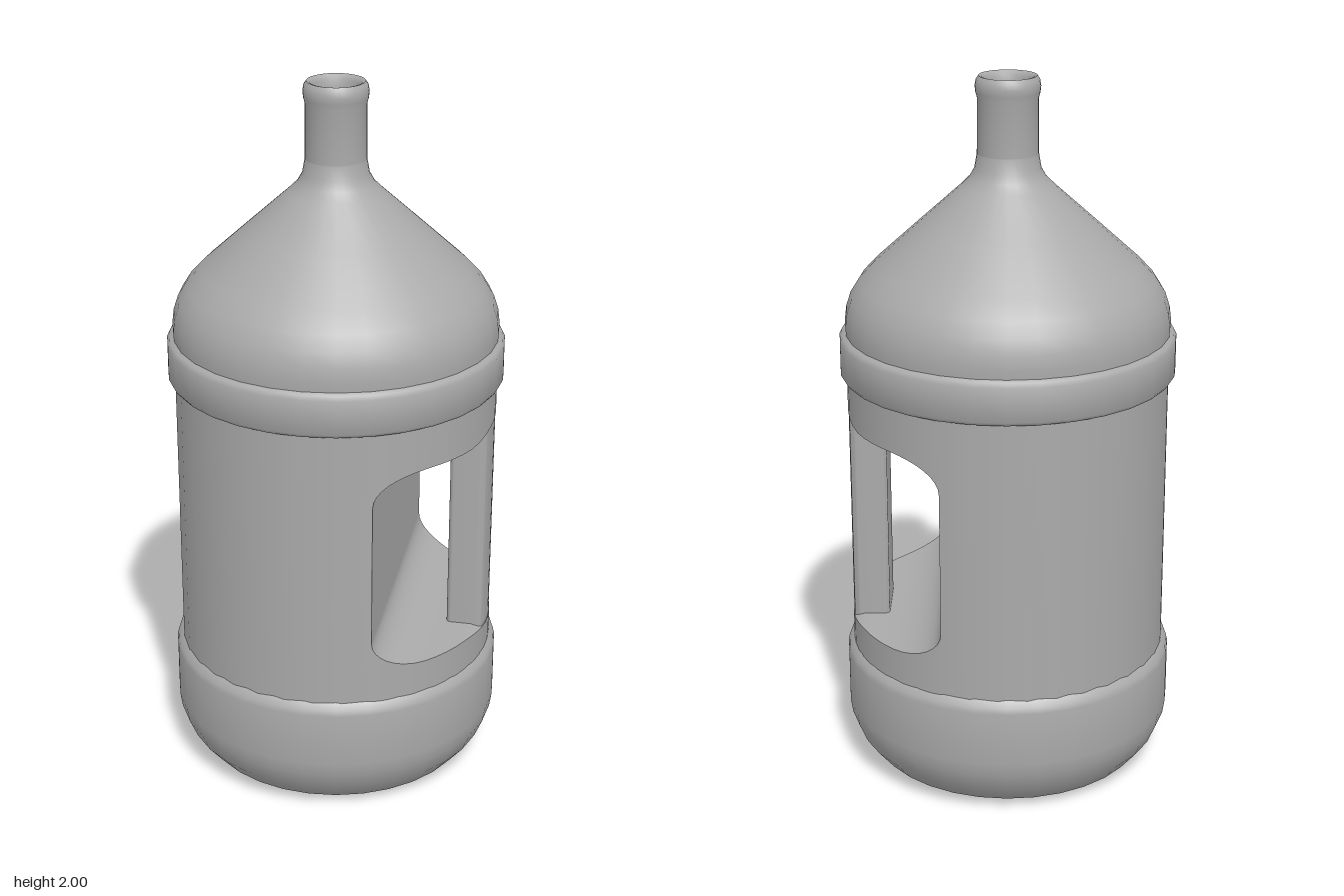
import * as THREE from 'three';
import { toCreasedNormals } from 'three/addons/utils/BufferGeometryUtils.js';

const R = 0.45;          // body radius
const CUT_X = 0.18;      // flat inner wall of the grip recess
const MID_Y = 0.755;     // middle height of the recess
const Y0 = 0.36, Y1 = 1.18; // straight part of the body

// Half height of the grip recess at a given x: rounded inner corners, flared lip
function halfHeight(x) {
  const k = Math.max(0, (0.33 - x) / 0.15);
  const lip = Math.max(0, (x - 0.405) / 0.045);
  return 0.205 + 0.09 * Math.sqrt(Math.max(0, 1 - k * k)) + 0.018 * lip * lip;
}

// Surface through rows of points
function grid(rows) {
  const n = rows[0].length, index = [];
  for (let i = 0; i < rows.length - 1; i++) {
    for (let j = 0; j < n - 1; j++) {
      const a = i * n + j, b = a + 1, c = a + n, d = c + 1;
      index.push(a, b, c, b, d, c);
    }
  }
  const geo = new THREE.BufferGeometry();
  geo.setAttribute('position', new THREE.Float32BufferAttribute(rows.flat(2), 3));
  geo.setIndex(index);
  geo.computeVertexNormals();
  return geo;
}

function lathe(points, segments = 32) {
  const pts = points.map(([r, y]) => new THREE.Vector2(r, y));
  return toCreasedNormals(new THREE.LatheGeometry(pts, segments), 0.95);
}

export function createModel() {
  const model = new THREE.Group();
  model.name = 'jug';
  const plastic = new THREE.MeshStandardMaterial({ color: 0xaaaaaa, side: THREE.DoubleSide });
  plastic.name = 'grey plastic';
  const add = (name, geo) => {
    const mesh = new THREE.Mesh(geo, plastic);
    mesh.name = name;
    model.add(mesh);
  };

  // Rounded base with a step up to the body
  add('base', lathe([[0, 0], [0.31, 0], [0.36, 0.01], [0.395, 0.03], [0.44, 0.085], [0.463, 0.14],
    [0.469, 0.18], [0.469, 0.335], [0.465, 0.352], [0.453, 0.365], [0.44, 0.38]]));

  // Raised band around the shoulder
  add('band', lathe([[0.44, 1.17], [0.462, 1.175], [0.469, 1.185], [0.469, 1.28],
    [0.463, 1.292], [0.445, 1.3]]));

  // Cone shoulder
  add('shoulder', lathe([[0.45, 1.28], [0.453, 1.32], [0.448, 1.36], [0.435, 1.4], [0.41, 1.44],
    [0.37, 1.483], [0.25, 1.592], [0.13, 1.7], [0.105, 1.725], [0.091, 1.75], [0.084, 1.79]]));

  // Neck with rolled lip and hollow mouth
  add('neck', lathe([[0.084, 1.79], [0.083, 1.94], [0.087, 1.955], [0.089, 1.972], [0.086, 1.99],
    [0.079, 2], [0.071, 1.998], [0.065, 1.985], [0.063, 1.96], [0.063, 1.76], [0, 1.76]]));

  // Body wall behind the recess
  const half = Math.acos(CUT_X / R);
  add('bodyWall', new THREE.LatheGeometry([new THREE.Vector2(R, Y0), new THREE.Vector2(R, Y1)],
    22, Math.PI / 2 + half, 2 * Math.PI - 2 * half));

  // Shared x stations from the inner wall to the outside
  const N = 16, xs = [];
  for (let i = 0; i <= N; i++) xs.push(CUT_X + (R - CUT_X) * (1 - Math.cos(Math.PI * i / N)) / 2);
  const width = x => Math.sqrt(Math.max(0, R * R - x * x));

  // Body wall below and above the openings
  const columns = [...xs.map(x => [x, width(x)]), ...xs.slice(0, -1).reverse().map(x => [x, -width(x)])];
  const level = f => columns.map(([x, z]) => [x, f(x), z]);
  const strips = [
    ['lowerWall', [level(() => Y0), level(x => MID_Y - halfHeight(x))]],
    ['upperWall', [level(x => MID_Y + halfHeight(x)), level(() => Y1)]],
  ];
  for (const [name, rows] of strips) {
    const geo = grid(rows);
    const p = geo.attributes.position;
    for (let i = 0; i < p.count; i++) geo.attributes.normal.setXYZ(i, p.getX(i) / R, 0, p.getZ(i) / R);
    add(name, geo);
  }

  // Recess: floor, flat inner wall and ceiling swept across the body
  const profile = [...[...xs].reverse().map(x => [x, MID_Y - halfHeight(x)]),
    ...xs.map(x => [x, MID_Y + halfHeight(x)])];
  add('gripRecess', grid(profile.map(([x, y]) =>
    [1, 0.5, 0, -0.5, -1].map(t => [x, y, t * width(x)]))));

  // Upright handle, its outside following the body curve
  const s = new THREE.Shape();
  s.moveTo(0.355, -0.09);
  s.lineTo(0.42, -0.09);
  s.quadraticCurveTo(0.438, -0.09, 0.442, -0.072);
  s.quadraticCurveTo(0.4555, 0, 0.442, 0.072);
  s.quadraticCurveTo(0.438, 0.09, 0.42, 0.09);
  s.lineTo(0.355, 0.09);
  s.quadraticCurveTo(0.34, 0.09, 0.34, 0.075);
  s.lineTo(0.34, -0.075);
  s.quadraticCurveTo(0.34, -0.09, 0.355, -0.09);
  const bar = new THREE.ExtrudeGeometry(s, { depth: 0.66, bevelEnabled: false, curveSegments: 6 });
  bar.rotateX(-Math.PI / 2);
  bar.translate(0, MID_Y - 0.33, 0);
  add('handle', toCreasedNormals(bar, 0.8));

  return model;
}
